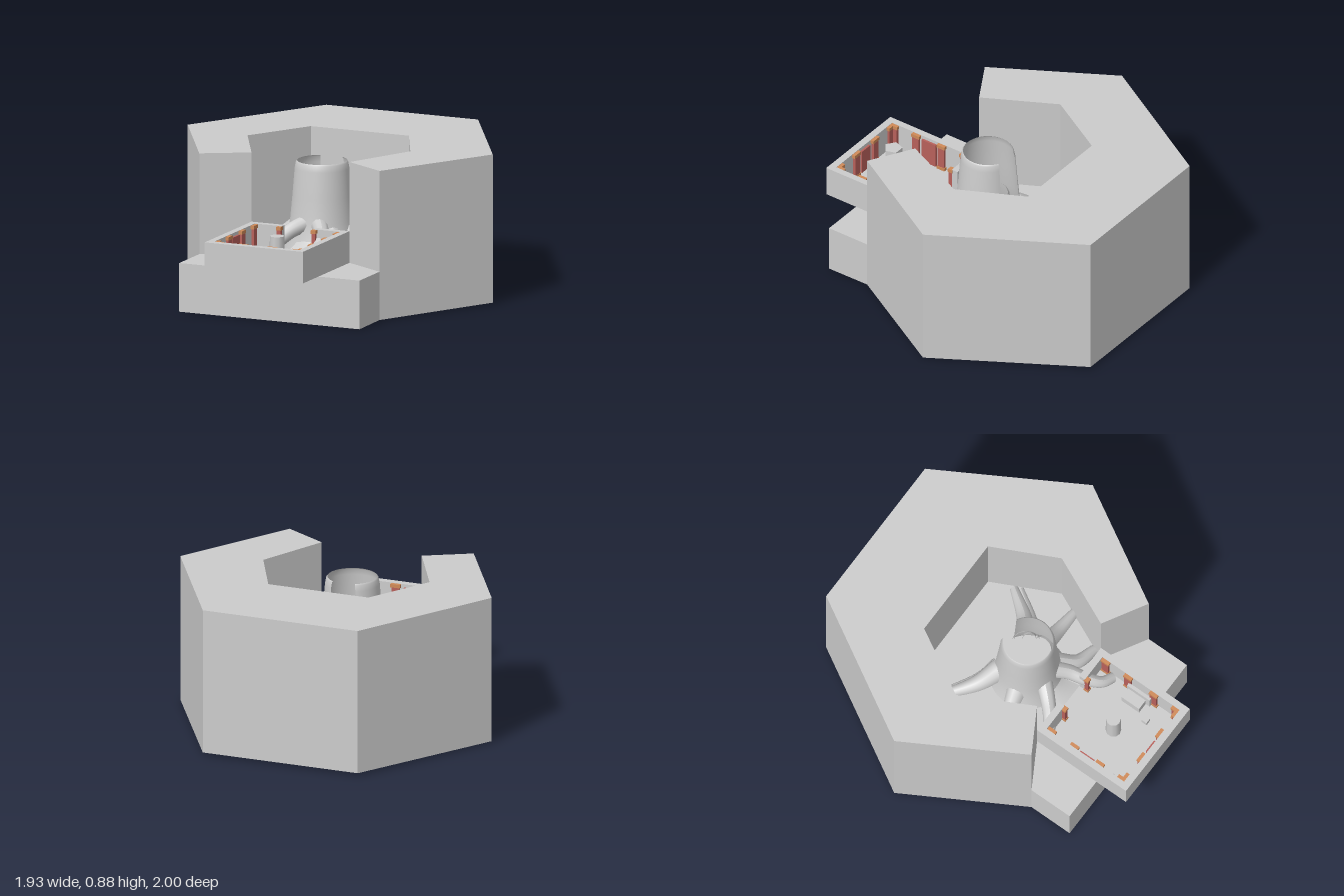
import * as THREE from 'three';

const paint = (color, extra = {}) => new THREE.MeshStandardMaterial({ color, ...extra });
const grey = paint(0xcccccc);
const thin = paint(0xcccccc, { side: THREE.DoubleSide });
const orange = paint(0xcf8a58);
const red = paint(0xb8605a);

const FLOOR = 0.285;
const TRAY_FLOOR = 0.3;

// Upright prism from a plan outline of [x, z] corners
function prism(outline, y0, y1) {
  const shape = new THREE.Shape(outline.map(([x, z]) => new THREE.Vector2(x, z)));
  const geo = new THREE.ExtrudeGeometry(shape, { depth: y1 - y0, bevelEnabled: false });
  return geo.rotateX(Math.PI / 2).translate(0, y1, 0);
}

// Tube along a curve whose radius shrinks from r0 to r1
function taperedTube(points, r0, r1) {
  const curve = new THREE.CatmullRomCurve3(points.map(p => new THREE.Vector3(...p)));
  const rings = 24, sides = 12;
  const geo = new THREE.TubeGeometry(curve, rings, 1, sides);
  const pos = geo.attributes.position, v = new THREE.Vector3();
  for (let i = 0; i < pos.count; i++) {
    const t = Math.floor(i / (sides + 1)) / rings;
    const c = curve.getPointAt(t);
    v.fromBufferAttribute(pos, i).sub(c).multiplyScalar(r0 + (r1 - r0) * t).add(c);
    pos.setXYZ(i, v.x, v.y, v.z);
  }
  geo.computeVertexNormals();
  return geo;
}

export function createModel() {
  const model = new THREE.Group();
  const add = (name, geo, mat = grey, parent = model) => {
    const mesh = new THREE.Mesh(geo, mat);
    mesh.name = name;
    parent.add(mesh);
    return mesh;
  };
  const group = name => {
    const g = new THREE.Group();
    g.name = name;
    model.add(g);
    return g;
  };

  // Base: hexagon plus front ledge, underside rising slightly to the back
  const base = prism([
    [-0.48, -1], [0.48, -1], [0.965, -0.165], [0.57, 0.52],
    [0.57, 0.79], [-0.57, 0.79], [-0.57, 0.52], [-0.965, -0.165],
  ], 0, FLOOR);
  const bp = base.attributes.position;
  for (let i = 0; i < bp.count; i++) {
    if (bp.getY(i) < 0.01) bp.setY(i, 0.008 * (0.79 - bp.getZ(i)));
  }
  base.computeVertexNormals();
  add('base', base);

  // Thick hexagonal wall, open at the front
  add('hexagonWall', prism([
    [-0.48, -1], [0.48, -1], [0.965, -0.165], [0.57, 0.52], [0.31, 0.37], [0.5, -0.045],
    [0.31, -0.43], [-0.31, -0.43], [-0.53, -0.045], [-0.31, 0.37], [-0.57, 0.52], [-0.965, -0.165],
  ], FLOOR, 0.875));

  // Hollow trunk with a slit at the back
  const tree = group('treeStump');
  const profile = [[0.225, FLOOR], [0.2, 0.36], [0.183, 0.46], [0.17, 0.6], [0.157, 0.76], [0.15, 0.795], [0.143, 0.803]]
    .map(([r, y]) => new THREE.Vector2(r, y));
  const slit = 0.5;
  const trunk = add('trunk', new THREE.LatheGeometry(profile, 48, Math.PI + slit, 2 * Math.PI - 2 * slit), thin, tree);
  trunk.position.z = 0.08;

  // Roots: start, middle, end, start radius, end radius
  const roots = [
    [[-0.11, 0.42, -0.03], [-0.24, 0.345, -0.1], [-0.4, 0.3, -0.23], 0.065, 0.025],
    [[-0.09, 0.38, -0.06], [-0.2, 0.32, -0.11], [-0.37, 0.295, -0.23], 0.05, 0.02],
    [[0.11, 0.42, -0.02], [0.23, 0.345, -0.11], [0.36, 0.3, -0.28], 0.065, 0.025],
    [[0.14, 0.39, 0.0], [0.25, 0.32, -0.08], [0.38, 0.295, -0.25], 0.05, 0.02],
    [[0.14, 0.41, 0.08], [0.28, 0.335, 0.08], [0.45, 0.3, 0.085], 0.06, 0.028],
    [[-0.14, 0.41, 0.11], [-0.26, 0.335, 0.14], [-0.36, 0.3, 0.18], 0.06, 0.03],
    [[0.11, 0.4, 0.19], [0.2, 0.34, 0.28], [0.33, 0.3, 0.31], 0.055, 0.03],
  ];
  roots.forEach(([a, b, c, r0, r1]) => add('root', taperedTube([a, b, c], r0, r1), grey, tree));
  add('frontRootRight', taperedTube(
    [[-0.03, 0.46, 0.21], [-0.1, 0.42, 0.29], [-0.16, 0.36, 0.35], [-0.22, 0.31, 0.39]], 0.05, 0.035), grey, tree);
  add('frontRootLeft', taperedTube(
    [[0.04, 0.46, 0.21], [0.1, 0.42, 0.3], [0.13, 0.39, 0.39], [0.18, 0.35, 0.47], [0.25, 0.32, 0.5]], 0.05, 0.03), grey, tree);

  // Sloping web between the front roots
  const web = new THREE.PlaneGeometry(1, 1, 8, 6);
  const wp = web.attributes.position;
  for (let i = 0; i < wp.count; i++) {
    const t = 0.5 - wp.getY(i), s = wp.getX(i) * 2;
    wp.setXYZ(i, s * (0.05 + 0.06 * t), 0.44 - 0.135 * Math.sqrt(t) - 0.02 * t, 0.23 + 0.17 * t - 0.02 * s * s);
  }
  web.computeVertexNormals();
  add('rootWeb', web, thin, tree);

  // Room tray with a doorway facing the trunk
  const room = group('room');
  const box = (name, w, h, d, x, y, z, mat = grey) =>
    add(name, new THREE.BoxGeometry(w, h, d).translate(x, y + h / 2, z), mat, room);
  box('roomFloor', 0.62, 0.016, 0.63, 0, FLOOR, 0.685);
  add('roomWall', prism([
    [-0.1, 0.37], [-0.31, 0.37], [-0.31, 1], [0.31, 1], [0.31, 0.37], [0.1, 0.37],
    [0.1, 0.41], [0.27, 0.41], [0.27, 0.957], [-0.27, 0.957], [-0.27, 0.41], [-0.1, 0.41],
  ], FLOOR, 0.47), grey, room);

  // Pilasters with coloured caps along the inside of the walls
  const pilaster = (w, d, x, z) => {
    box('pilaster', w * 0.75, 0.15, d * 0.8, x, TRAY_FLOOR, z, red);
    box('pilasterCap', w, 0.02, d, x, 0.448, z, orange);
    box('pilasterFoot', w, 0.02, d, x, TRAY_FLOOR, z, orange);
  };
  for (const s of [-1, 1]) {
    for (const z of [0.44, 0.6, 0.78, 0.935]) pilaster(0.022, 0.055, s * 0.26, z);
    pilaster(0.06, 0.022, s * 0.09, 0.947);
    pilaster(0.04, 0.022, s * 0.235, 0.947);
    pilaster(0.03, 0.03, s * 0.11, 0.42);
  }
  box('frontPanel', 0.08, 0.15, 0.014, 0, TRAY_FLOOR, 0.951, red);
  box('sidePanel', 0.014, 0.15, 0.1, -0.264, TRAY_FLOOR, 0.69, red);

  // Furniture
  add('post', new THREE.CylinderGeometry(0.042, 0.045, 0.175, 10).translate(0, TRAY_FLOOR + 0.0875, 0.685), grey, room);
  box('table', 0.08, 0.06, 0.125, 0.21, TRAY_FLOOR, 0.68);
  box('shelf', 0.02, 0.1, 0.16, 0.245, TRAY_FLOOR, 0.69);
  box('stool', 0.035, 0.035, 0.035, 0.15, TRAY_FLOOR, 0.805);
  add('cornerSeat', new THREE.CylinderGeometry(0.055, 0.055, 0.06, 5).translate(-0.2, TRAY_FLOOR + 0.03, 0.9), paint(0xcccccc, { flatShading: true }), room);

  return model;
}
